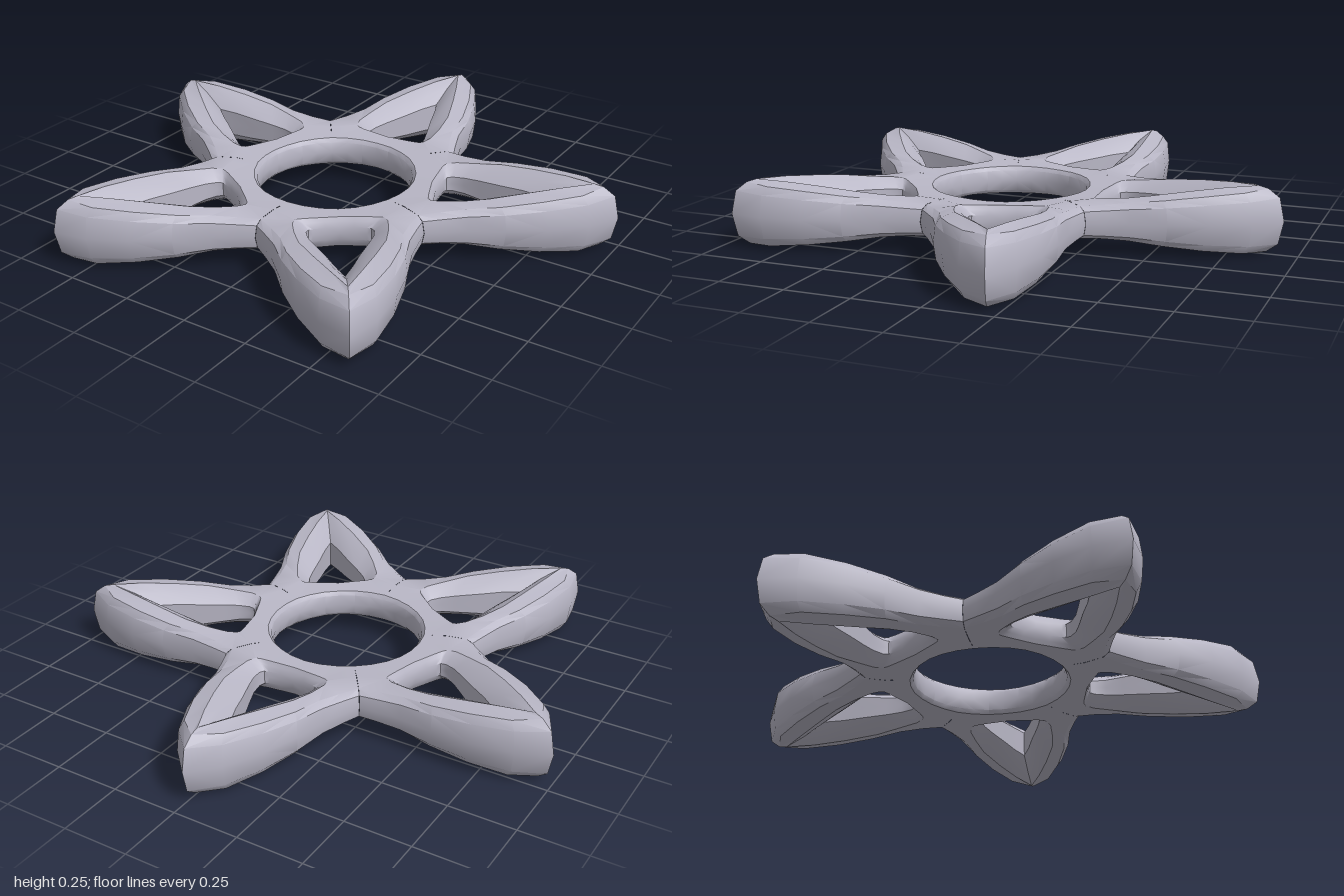
import * as THREE from 'three';
import { toCreasedNormals } from 'three/addons/utils/BufferGeometryUtils.js';

const CENTRE_Z = 0.105, MID_Y = 0.125, RIDGE_INSET = 0.035;

// Half an arm, tip to hub: outer rim (r, t), crease (r, t), arm-hole rim (r, t), half thickness.
// r runs along the arm from the hub centre, t runs sideways.
const STATIONS = [
  [1.05, 0, 0.955, 0, 0.77, 0, 0.125],
  [0.955, 0.093, 0.85, 0.05, 0.70, 0.03, 0.119],
  [0.82, 0.162, 0.73, 0.10, 0.62, 0.057, 0.106],
  [0.68, 0.21, 0.605, 0.145, 0.53, 0.092, 0.089],
  [0.55, 0.238, 0.51, 0.16, 0.47, 0.113, 0.075],
  [0.46, 0.272, 0.43, 0.165, 0.425, 0.118, 0.067],
  [0.405, 0.294, 0.395, 0.155, 0.405, 0.11, 0.063], // valley between two arms
  [0.316, 0.229, 0.395, 0.155, 0.405, 0.11, 0.063], // inside the hub
  [0.231, 0.168, 0.385, 0.14, 0.405, 0.11, 0.06], // central hole from here on
  [0.26, 0.116, 0.38, 0.11, 0.398, 0.095, 0.059],
  [0.279, 0.059, 0.375, 0.055, 0.39, 0.05, 0.058],
  [0.285, 0, 0.37, 0, 0.385, 0, 0.057],
];
const VALLEY = 6, HUB = 7;

// Cross-section at one station, from the outer wall over the top to the arm hole.
function section([or, ot, qr, qt, ar, at, h], k) {
  const O = new THREE.Vector2(or, ot), Q = new THREE.Vector2(qr, qt), A = new THREE.Vector2(ar, at);
  const dir = k < VALLEY ? Q.clone().sub(O) : O.clone().multiplyScalar(k === VALLEY ? -1 : 1);
  dir.normalize();
  const hole = k > HUB;
  const inset = k === HUB ? 0 : hole ? 0.018 : k === 0 ? 0.06 : RIDGE_INSET;
  const rim = O.clone().addScaledVector(dir, inset * 0.3);
  const ridge = O.clone().addScaledVector(dir, inset);
  const bevel = Q.clone().lerp(A, 0.5);
  return [
    [O, 0], [rim, 0.68 * h], [ridge, k === HUB ? h : 0.93 * h], [Q, h],
    [bevel, 0.76 * h], [A, 0.42 * h], [A, 0],
  ];
}

function starGeometry() {
  const sections = STATIONS.map(section);
  const positions = [];
  const a = new THREE.Vector3(), b = new THREE.Vector3();

  for (let arm = 0; arm < 5; arm++) {
    const angle = arm * Math.PI * 2 / 5, c = Math.cos(angle), s = Math.sin(angle);
    for (const side of [1, -1]) for (const up of [1, -1]) {
      const place = ([p, y]) => new THREE.Vector3(
        p.x * s + side * p.y * c, MID_Y + up * y, CENTRE_Z - p.x * c + side * p.y * s);
      const triangle = (p, q, r) => {
        if (a.subVectors(q, p).cross(b.subVectors(r, p)).length() < 1e-7) return;
        for (const v of side * up > 0 ? [p, q, r] : [p, r, q]) positions.push(v.x, v.y, v.z);
      };
      const grid = sections.map((sec) => sec.map(place));
      for (let k = 0; k < grid.length - 1; k++) {
        // The hub's solid middle has no outer wall
        const first = k === VALLEY || k === HUB ? 2 : 0;
        for (let j = first; j < 6; j++) {
          const [p, q] = [grid[k], grid[k + 1]];
          triangle(p[j], p[j + 1], q[j + 1]);
          triangle(p[j], q[j + 1], q[j]);
        }
      }
    }
  }
  const geometry = new THREE.BufferGeometry();
  geometry.setAttribute('position', new THREE.Float32BufferAttribute(positions, 3));
  return toCreasedNormals(geometry, 0.6);
}

export function createModel() {
  const lavenderGrey = new THREE.MeshStandardMaterial({ color: 0xb9b7c6 });
  lavenderGrey.name = 'lavender grey';
  const star = new THREE.Mesh(starGeometry(), lavenderGrey);
  star.name = 'openStar';
  const group = new THREE.Group();
  group.name = 'openworkStar';
  group.add(star);
  return group;
}
